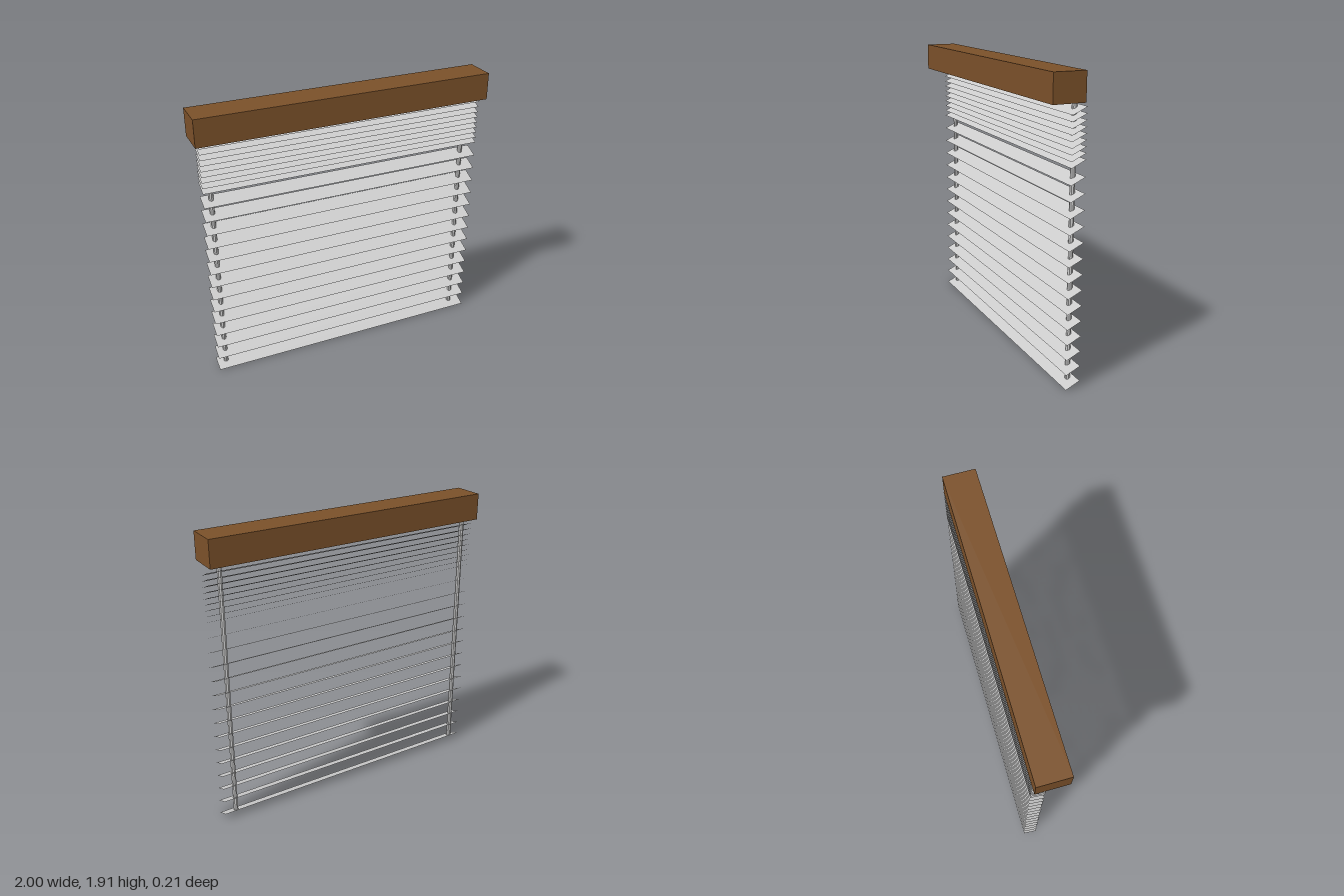
import * as THREE from 'three';

export function createModel() {
  const group = new THREE.Group();
  const wood = new THREE.MeshStandardMaterial({ color: 0x7a5029 });
  const grey = new THREE.MeshStandardMaterial({ color: 0xcccccc, flatShading: true });
  const slatGrey = new THREE.MeshStandardMaterial({ color: 0xcccccc, side: THREE.DoubleSide });

  const add = (name, geometry, material, x, y, z) => {
    const mesh = new THREE.Mesh(geometry, material);
    mesh.name = name;
    mesh.position.set(x, y, z);
    group.add(mesh);
    return mesh;
  };

  // Wooden head rail
  add('headRail', new THREE.BoxGeometry(1.98, 0.178, 0.21), wood, -0.01, 1.819, 0);

  // Two cords hanging from the rail through the slats
  const cordBottom = 0.025, cordTop = 1.735;
  const cord = new THREE.CylinderGeometry(0.016, 0.016, cordTop - cordBottom, 8);
  add('rightCord', cord, grey, -0.893, (cordTop + cordBottom) / 2, -0.07);
  add('leftCord', cord, grey, 0.911, (cordTop + cordBottom) / 2, -0.07);

  // Paper-thin slats, back edge raised
  const rise = 0.043, depth = 0.094;
  const slat = new THREE.PlaneGeometry(1.955, Math.hypot(rise, depth));
  slat.rotateX(-Math.PI / 2 + Math.atan2(rise, depth));
  const addSlats = (name, count, bottom, pitch) => {
    for (let i = 0; i < count; i++) {
      add(name, slat, slatGrey, 0.0225, bottom + i * pitch + rise / 2, -0.058);
    }
  };
  addSlats('openSlat', 14, 0, 0.0977); // evenly spread slats
  addSlats('gatheredSlat', 9, 1.37, 0.0374); // slats bunched under the rail

  return group;
}
